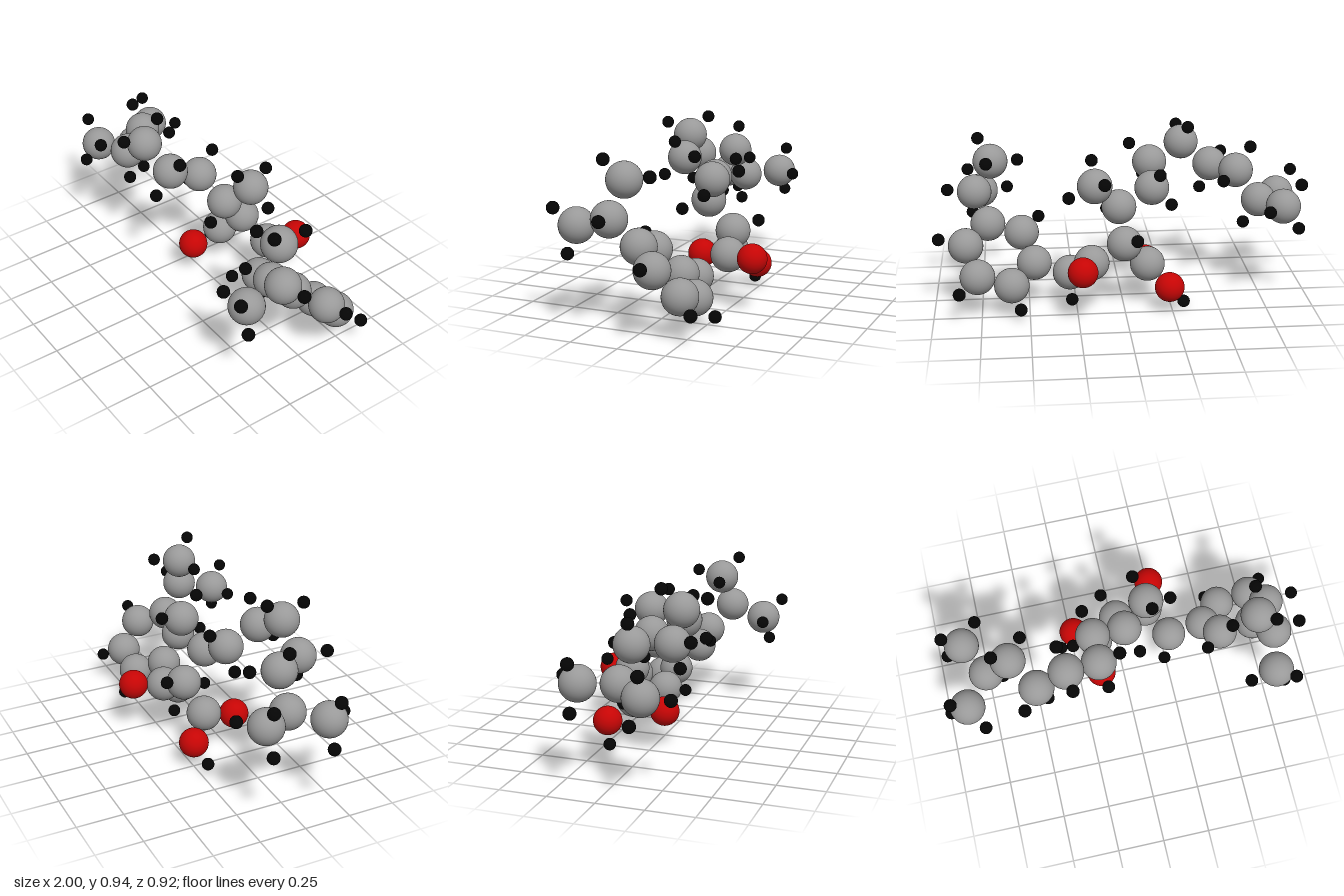
import * as THREE from 'three';

// One shared sphere and material per kind of atom
const kind = (radius, color) => ({
  geometry: new THREE.SphereGeometry(radius, 40, 24),
  material: new THREE.MeshStandardMaterial({ color }),
});

export function createModel() {
  const model = new THREE.Group();
  model.name = 'molecule';
  const kinds = {
    carbon: kind(0.092, 0x999999),
    oxygen: kind(0.078, 0xc60505),
    hydrogen: kind(0.033, 0x050505),
  };

  // Adds a named group of atoms, given centres per kind
  function fragment(name, atoms) {
    const group = new THREE.Group();
    group.name = name;
    for (const [type, centres] of Object.entries(atoms)) {
      centres.forEach((centre, i) => {
        const atom = new THREE.Mesh(kinds[type].geometry, kinds[type].material);
        atom.name = `${type}${i + 1}`;
        atom.position.set(...centre);
        group.add(atom);
      });
    }
    model.add(group);
  }

  // Forked end of the long chain
  fragment('forkedTail', {
    carbon: [[-0.872, 0.501, 0.185], [-0.843, 0.531, -0.145], [-0.742, 0.516, 0.027]],
    hydrogen: [
      [-0.95, 0.628, 0.2], [-0.967, 0.389, 0.163], [-0.8, 0.479, 0.31],
      [-0.934, 0.649, -0.155], [-0.931, 0.406, -0.15], [-0.752, 0.536, -0.258],
      [-0.662, 0.394, 0.02],
    ],
  });

  // Long chain leading to the core
  fragment('longChain', {
    carbon: [
      [-0.618, 0.679, 0.045], [-0.502, 0.668, 0.216], [-0.341, 0.799, 0.207],
      [-0.165, 0.703, 0.163], [-0.16, 0.613, -0.018],
    ],
    hydrogen: [
      [-0.696, 0.803, 0.055], [-0.534, 0.656, -0.075], [-0.582, 0.705, 0.335],
      [-0.453, 0.53, 0.238], [-0.365, 0.904, 0.108], [-0.33, 0.864, 0.338],
      [-0.057, 0.806, 0.174], [-0.138, 0.606, 0.272], [-0.267, 0.515, -0.02],
      [-0.192, 0.711, -0.125],
    ],
  });

  // Branching core with a side group
  fragment('core', {
    carbon: [[0.018, 0.524, -0.056], [0, 0.364, -0.187], [0.15, 0.663, -0.129]],
    hydrogen: [
      [0.075, 0.474, 0.073], [-0.057, 0.418, -0.309], [0.16, 0.776, -0.035],
      [0.286, 0.605, -0.14], [0.107, 0.708, -0.259],
    ],
  });

  // Acid group below the core
  fragment('acidGroup', {
    carbon: [[-0.127, 0.227, -0.13]],
    oxygen: [[-0.234, 0.133, -0.24], [-0.133, 0.185, 0.045]],
    hydrogen: [[-0.315, 0.033, -0.197]],
  });

  // Bridge from the core to the ring
  fragment('bridge', {
    carbon: [[0.175, 0.28, -0.23], [0.282, 0.178, -0.095]],
    oxygen: [[0.229, 0.286, -0.383]],
    hydrogen: [[0.274, 0.033, -0.124], [0.225, 0.193, 0.041]],
  });

  // Six-sided ring
  fragment('ring', {
    carbon: [
      [0.471, 0.24, -0.096], [0.592, 0.163, -0.221], [0.768, 0.216, -0.221],
      [0.827, 0.348, -0.103], [0.71, 0.424, 0.022], [0.533, 0.37, 0.022],
    ],
    hydrogen: [
      [0.547, 0.062, -0.311], [0.861, 0.159, -0.316],
      [0.967, 0.387, -0.108], [0.44, 0.426, 0.116],
    ],
  });

  // Forked branch above the ring
  fragment('ringBranch', {
    carbon: [[0.78, 0.564, 0.145], [0.749, 0.51, 0.34], [0.689, 0.744, 0.106]],
    hydrogen: [
      [0.922, 0.583, 0.128], [0.606, 0.516, 0.374], [0.822, 0.605, 0.429],
      [0.801, 0.376, 0.365], [0.546, 0.741, 0.133], [0.753, 0.849, 0.187],
      [0.709, 0.771, -0.04],
    ],
  });

  return model;
}
